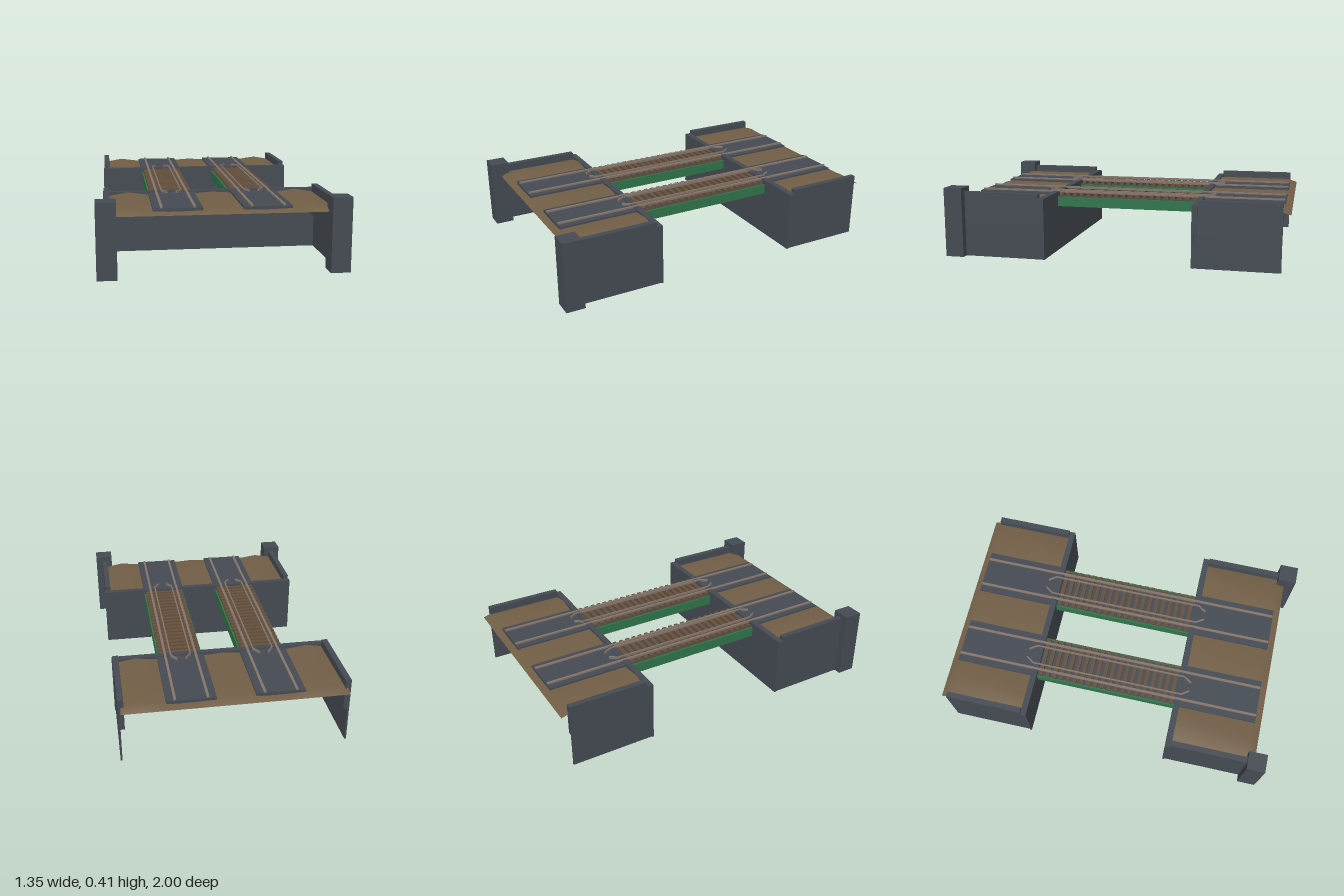
import * as THREE from 'three';

const mat = (name, color, side = THREE.FrontSide) => {
  const m = new THREE.MeshStandardMaterial({ color, side });
  m.name = name;
  return m;
};

export function createModel() {
  const slate = mat('slate stone', 0x454b53);
  const earth = mat('brown earth', 0x715e46, THREE.DoubleSide);
  const green = mat('green steel', 0x30754a);
  const steel = mat('rail steel', 0x84756a);
  const wood = mat('sleeper wood', 0x66503c);

  const model = new THREE.Group();
  model.name = 'railwayBridge';

  // Box given by its limits on each axis
  const box = (parent, name, material, [x0, x1], [y0, y1], [z0, z1]) => {
    const mesh = new THREE.Mesh(new THREE.BoxGeometry(x1 - x0, y1 - y0, z1 - z0), material);
    mesh.position.set((x0 + x1) / 2, (y0 + y1) / 2, (z0 + z1) / 2);
    mesh.name = name;
    parent.add(mesh);
    return mesh;
  };
  const span = (a, b) => [Math.min(a, b), Math.max(a, b)];

  // Rolling ground sheet whose outer end dips downwards
  const groundSheet = (parent, inner, outer, halfWidth) => {
    const xs = [-1, -0.82, -0.65, -0.4, -0.2, 0, 0.2, 0.4, 0.65, 0.82, 1];
    const heights = [0.338, 0.357, 0.343, 0.338, 0.342, 0.35, 0.342, 0.338, 0.343, 0.357, 0.338];
    const geo = new THREE.PlaneGeometry(1, 1, xs.length - 1, 3);
    const steps = [0, 0.5, 0.9, 1];
    const p = geo.attributes.position;
    for (let i = 0; i < p.count; i++) {
      const col = i % xs.length, row = Math.floor(i / xs.length);
      const t = inner < 0 ? steps[3 - row] : steps[row];
      p.setXYZ(i, xs[col] * halfWidth, t === 1 ? 0.322 : heights[col], inner + (outer - inner) * t);
    }
    geo.computeVertexNormals();
    const mesh = new THREE.Mesh(geo, earth);
    mesh.name = 'ground';
    parent.add(mesh);
  };

  // One bank: abutment, wing walls and ground
  const bank = (name, inner, wallEnd, groundEnd, groundHalf) => {
    const g = new THREE.Group();
    g.name = name;
    const d = Math.sign(inner);
    box(g, 'abutmentWall', slate, [-0.635, 0.635], [0, 0.2], span(inner, inner + d * 0.012));
    box(g, 'abutmentBeam', slate, [-0.635, 0.635], [0.2, 0.36], span(inner, inner + d * 0.035));
    for (const s of [-1, 1]) {
      const z = span(inner + d * 0.035, wallEnd);
      box(g, 'wingWall', slate, span(s * 0.62, s * 0.63), [0, 0.2], span(inner + d * 0.012, wallEnd));
      box(g, 'wingCoping', slate, span(s * 0.597, s * 0.63), [0.2, 0.385], z);
    }
    groundSheet(g, inner + d * 0.03, groundEnd, groundHalf);
    model.add(g);
    return g;
  };
  const front = bank('frontBank', 0.4, 0.9, 0.94, 0.6);
  bank('backBank', -0.46, -0.957, -1, 0.615);
  for (const s of [-1, 1]) {
    box(front, 'pillar', slate, span(s * 0.565, s * 0.673), [0, 0.41], [0.89, 1]);
  }

  // Guard rail with ends bent towards the track centre
  const guardRail = (parent, x, side) => {
    const line = [[0.03, -0.545], [0, -0.5], [0, 0.43], [0.03, 0.475]]
      .map(([dx, z]) => [x - side * dx, z]);
    const rail = new THREE.Group();
    rail.name = 'guardRail';
    for (let i = 0; i < 3; i++) {
      const [ax, az] = line[i], [bx, bz] = line[i + 1];
      const len = Math.hypot(bx - ax, bz - az);
      const mesh = new THREE.Mesh(new THREE.BoxGeometry(0.008, 0.013, len + 0.003), steel);
      mesh.position.set((ax + bx) / 2, 0.3605, (az + bz) / 2);
      mesh.rotation.y = Math.atan2(bx - ax, bz - az);
      mesh.name = 'guardRailPiece';
      rail.add(mesh);
    }
    parent.add(rail);
  };

  // Two parallel tracks, each with its own girder deck
  for (const s of [-1, 1]) {
    const t = new THREE.Group();
    t.name = s > 0 ? 'leftTrack' : 'rightTrack';
    t.position.x = s * 0.241;

    box(t, 'girder', green, [-0.13, 0.13], [0.272, 0.331], [-0.46, 0.4]);
    box(t, 'deckPlate', slate, [-0.118, 0.118], [0.331, 0.334], [-0.46, 0.4]);
    box(t, 'frontTrackBed', slate, [-0.133, 0.133], [0.335, 0.353], [0.4, 0.9]);
    box(t, 'backTrackBed', slate, [-0.135, 0.135], [0.335, 0.353], [-0.96, -0.46]);

    const count = 20, pitch = 0.86 / count;
    for (let i = 0; i < count; i++) {
      const z = -0.46 + (i + 0.5) * pitch;
      box(t, 'sleeper', wood, [-0.122, 0.122], [0.334, 0.353], [z - 0.011, z + 0.011]);
    }
    for (const r of [-1, 1]) {
      box(t, 'runningRail', steel, [r * 0.088 - 0.007, r * 0.088 + 0.007], [0.35, 0.362], [-0.957, 0.897]);
      guardRail(t, r * 0.057, r);
    }
    model.add(t);
  }
  return model;
}
